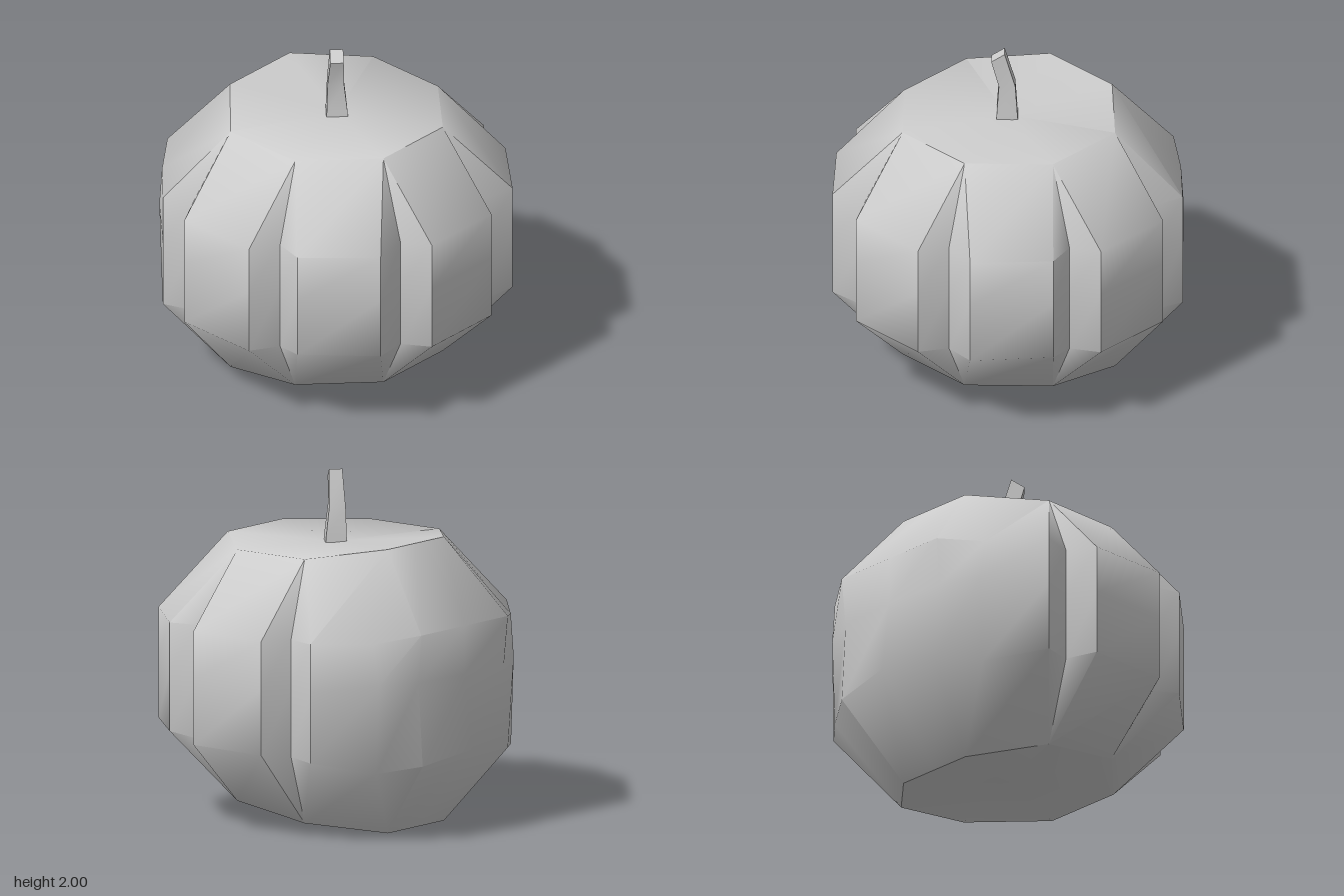
import * as THREE from 'three';
import { toCreasedNormals } from 'three/addons/utils/BufferGeometryUtils.js';

const material = new THREE.MeshStandardMaterial({ color: 0xcccccc });

// Skins closed loops of points (listed bottom to top) and closes both ends to a centre point.
function skin(loops, bottom, top, crease) {
  const pos = [];
  const tri = (a, b, c) => {
    const ab = new THREE.Vector3().fromArray(b).sub(new THREE.Vector3().fromArray(a));
    const ac = new THREE.Vector3().fromArray(c).sub(new THREE.Vector3().fromArray(a));
    if (ab.cross(ac).length() > 1e-7) pos.push(...a, ...b, ...c);
  };
  const n = loops[0].length;
  for (let i = 0; i < n; i++) {
    const j = (i + 1) % n;
    for (let k = 0; k + 1 < loops.length; k++) {
      const lo = loops[k], hi = loops[k + 1];
      tri(lo[i], lo[j], hi[j]);
      tri(lo[i], hi[j], hi[i]);
    }
    const first = loops[0], last = loops[loops.length - 1];
    tri(bottom, first[j], first[i]);
    tri(top, last[i], last[j]);
  }
  const geo = new THREE.BufferGeometry();
  geo.setAttribute('position', new THREE.Float32BufferAttribute(pos, 3));
  return toCreasedNormals(geo, crease);
}

// Shoulder corners: x, z, bottom y, top y
const corners = [
  [0.25, 0.61, 0.15, 1.605],
  [0.6, 0.25, 0.14, 1.595],
  [0.6, -0.25, 0.07, 1.6],
  [0.25, -0.575, 0, 1.645],
  [0, -0.575, 0, 1.645],
];

// One column of the wall, from the underside up to the shoulder
function column(corner, lower, middle, upper) {
  const [x, z, y0, y1] = corners[corner];
  return [[x, y0, z], lower, middle, upper, [x, y1, z]];
}
const upright = (corner, x, z, y0 = 0.52, y1 = 1.18) =>
  column(corner, [x, y0, z], [x, 0.9, z], [x, y1, z]);

function createBody() {
  // Ribs and grooves of one side, front to back
  const side = [
    upright(0, 0.25, 0.985),
    upright(0, 0.345, 0.83),
    upright(0, 0.555, 0.87, 0.54),
    upright(1, 0.875, 0.52, 0.55),
    upright(1, 0.83, 0.345),
    upright(1, 0.988, 0.25),
    upright(2, 0.988, -0.25),
    upright(2, 0.83, -0.34, 0.5),
    upright(2, 0.875, -0.52, 0.49),
    column(3, [0.6, 0.42, -0.78], [0.6, 0.93, -0.8], [0.61, 1.17, -0.77]),
    column(3, [0.38, 0.45, -0.94], [0.38, 0.93, -0.91], [0.385, 1.21, -0.935]),
  ];
  const back = column(4, [0, 0.5, -0.99], [0, 0.93, -0.935], [0, 1.21, -0.935]);
  const mirrored = side.map(col => col.map(([x, y, z]) => [-x, y, z])).reverse();
  const columns = [...side, back, ...mirrored];
  const loops = [0, 1, 2, 3, 4].map(k => columns.map(col => col[k]));
  const body = new THREE.Mesh(skin(loops, [0, 0.11, 0], [0, 1.585, 0.02], 0.87), material);
  body.name = 'ribbedBody';
  return body;
}

function createStem() {
  // Four-sided sections: centre x, y, z, radius, tilt of the cut
  const sections = [
    [0, 1.56, 0.02, 0.09, 0],
    [0, 1.62, 0.02, 0.083, 0],
    [-0.005, 1.79, 0.015, 0.066, 0],
    [-0.038, 1.975, 0.055, 0.054, 0.45],
  ];
  const loops = sections.map(([x, y, z, r, tilt]) => [0, 1, 2, 3].map(i => {
    const a = i * Math.PI / 2, dx = Math.sin(a) * r, dz = Math.cos(a) * r;
    return [x + dx, y + tilt * (dx - dz), z + dz];
  }));
  const stem = new THREE.Mesh(skin(loops, [0, 1.56, 0.02], [-0.038, 1.975, 0.055], 0.7), material);
  stem.geometry = toCreasedNormals(stem.geometry, 1.65 / 2);
  stem.name = 'stem';
  return stem;
}

export function createModel() {
  const group = new THREE.Group();
  group.name = 'pumpkin';
  group.add(createBody(), createStem());
  return group;
}
